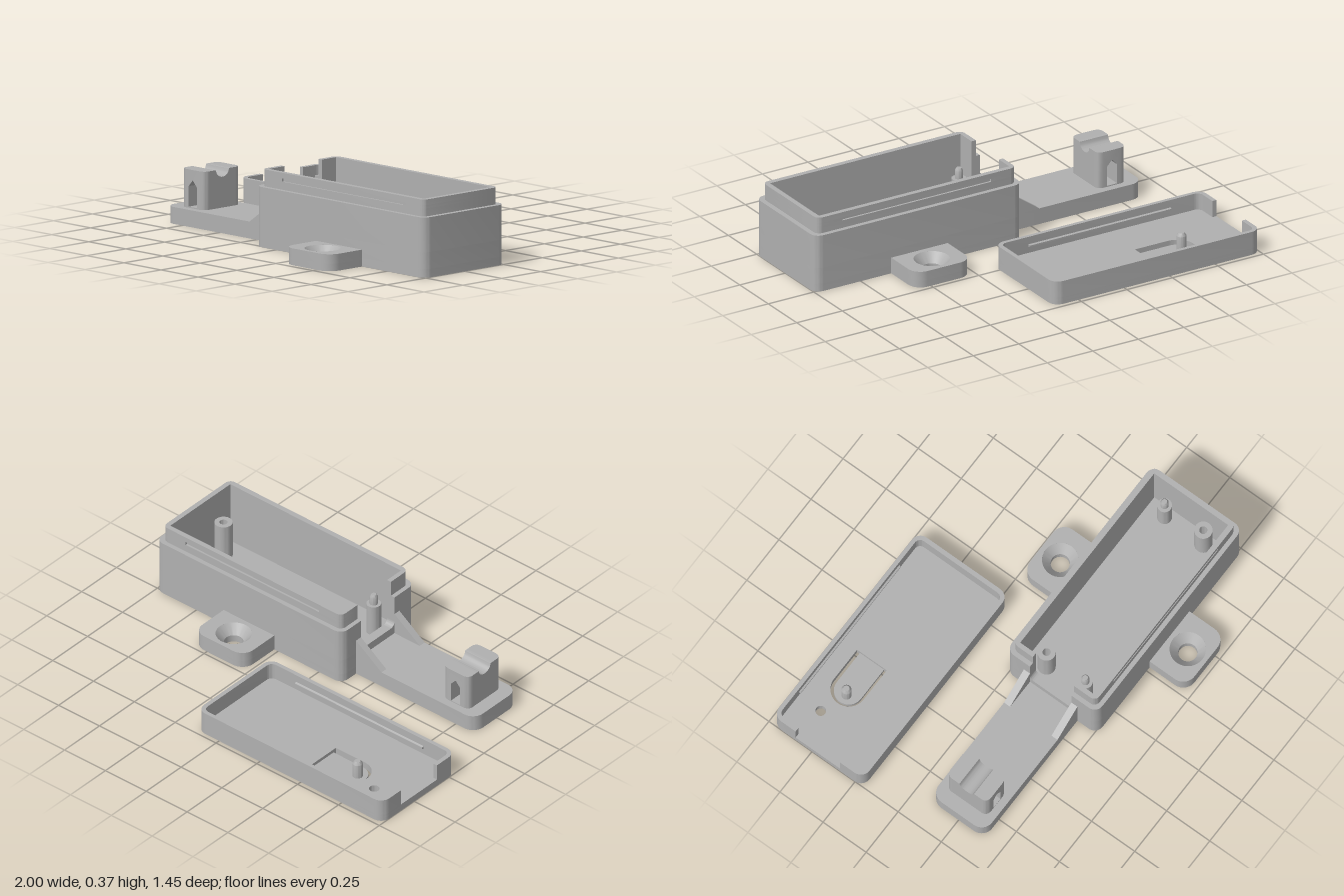
import * as THREE from 'three';
import { toCreasedNormals } from 'three/addons/utils/BufferGeometryUtils.js';

const V = (x, y) => new THREE.Vector2(x, y);
const grey = new THREE.MeshStandardMaterial({ color: 0xb0b0b0, side: THREE.DoubleSide });
grey.name = 'grey plastic';

function add(parent, name, geo) {
  const mesh = new THREE.Mesh(toCreasedNormals(geo, 0.6), grey);
  mesh.name = name;
  parent.add(mesh);
  return mesh;
}

// Plan shape (x, z) raised from y0 to y1
function prism(shape, y0, y1) {
  const g = new THREE.ExtrudeGeometry(shape, { depth: y1 - y0, bevelEnabled: false, curveSegments: 20 });
  return g.rotateX(Math.PI / 2).translate(0, y1, 0);
}

// Rounded rectangle points starting on the -x side; radii per corner;
// groove = [xa, xb, depth] cuts a recess into both long sides
function rectPts(x0, x1, z0, z1, r = 0, groove) {
  const radii = Array.isArray(r) ? r : [r, r, r, r];
  const corners = [[x0, z0, 1, 1], [x1, z0, -1, 1], [x1, z1, -1, -1], [x0, z1, 1, -1]];
  const pts = [];
  corners.forEach(([x, z, sx, sz], i) => {
    const q = radii[i], n = q ? 10 : 0;
    for (let k = 0; k <= n; k++) {
      const a = Math.PI * (1 + i / 2) + (n ? (k / n) * Math.PI / 2 : 0);
      pts.push(q ? V(x + sx * q + q * Math.cos(a), z + sz * q + q * Math.sin(a)) : V(x, z));
    }
    if (groove && i % 2 === 0) {
      const [ga, gb, d] = groove;
      const [a, b] = i === 0 ? [ga, gb] : [gb, ga];
      pts.push(V(a, z), V(a, z + sz * d), V(b, z + sz * d), V(b, z));
    }
  });
  return pts;
}

const plate = (...args) => new THREE.Shape(rectPts(...args));

function circleHole(shape, x, z, r) {
  shape.holes.push(new THREE.Path().absarc(x, z, r, 0, Math.PI * 2));
  return shape;
}

// Closed wall ring
function ring(outer, inner) {
  const s = new THREE.Shape(outer);
  s.holes.push(new THREE.Path(inner));
  return s;
}

// Wall ring left open on the -x side between z = za and zb
function openRing(outer, inner, x0, xi, za, zb) {
  return new THREE.Shape([V(x0, za), ...outer, V(x0, zb), V(xi, zb), ...inner.slice().reverse(), V(xi, za)]);
}

function lathe(points, x, z) {
  return new THREE.LatheGeometry(points.map(p => V(p[0], p[1])), 28).translate(x, 0, z);
}

function makeBase() {
  const base = new THREE.Group();
  base.name = 'base';
  const za = 0.125, zb = 0.365, notchY = 0.12, wallTop = 0.285, top = 0.365, xi = -0.095;
  const outer = rectPts(-0.14, 1, -0.013, 0.512, 0.045);
  const inner = rectPts(xi, 0.95, 0.035, 0.464);
  add(base, 'boxFloor', prism(new THREE.Shape(outer), 0, 0.04));
  add(base, 'lowerWall', prism(ring(outer, inner), 0.04, notchY));
  add(base, 'upperWall', prism(openRing(outer, inner, -0.14, xi, za, zb), notchY, wallTop));

  // Stepped lip with a snap groove along both sides
  const lip = groove => openRing(rectPts(-0.118, 0.975, 0.01, 0.49, 0.03, groove), inner, -0.118, xi, za, zb);
  add(base, 'lipLower', prism(lip(), wallTop, 0.323));
  add(base, 'lipGroove', prism(lip([0.02, 0.835, 0.01]), 0.323, 0.338));
  add(base, 'lipUpper', prism(lip(), 0.338, top));

  // Rounded lower corners of the cable notch
  for (const [z, s] of [[za, 1], [zb, -1]]) {
    const r = 0.025, pts = [V(0, 0)];
    for (let k = 0; k <= 8; k++) {
      const a = Math.PI * (1.5 - k / 16);
      pts.push(V(s * r * (1 + Math.cos(a)), r * (1 + Math.sin(a))));
    }
    const g = new THREE.ExtrudeGeometry(new THREE.Shape(pts), { depth: 0.045, bevelEnabled: false });
    add(base, 'notchFillet', g.rotateY(-Math.PI / 2).translate(xi, notchY, z));
  }

  // Board supports: two hollow posts and two locating pins
  for (const [x, z] of [[-0.02, 0.132], [0.9, 0.357]])
    add(base, 'hollowPost', lathe([[0.043, 0.04], [0.043, 0.23], [0.019, 0.23], [0.019, 0.06], [0, 0.06]], x, z));
  for (const [x, z] of [[-0.02, 0.357], [0.9, 0.132]])
    add(base, 'pinPost', lathe([[0.035, 0.04], [0.035, 0.2], [0.019, 0.2], [0.019, 0.24], [0.012, 0.252], [0, 0.252]], x, z));

  // Screw ears with countersunk holes
  for (const s of [-1, 1]) {
    const r = 0.065, cx = 0.428, cz = 0.248 + s * 0.37;
    const ear = () => s < 0
      ? plate(0.273, 0.583, -0.23, 0.015, [r, r, 0, 0])
      : plate(0.273, 0.583, 0.485, 0.724, [0, 0, r, r]);
    add(base, 'earLower', prism(circleHole(ear(), cx, cz, 0.045), 0, 0.035));
    add(base, 'earUpper', prism(circleHole(ear(), cx, cz, 0.085), 0.035, 0.08));
    add(base, 'countersink', new THREE.CylinderGeometry(0.085, 0.045, 0.045, 36, 1, true).translate(cx, 0.0575, cz));
  }

  // Cable tongue and its gussets
  add(base, 'tongue', prism(plate(-0.865, -0.11, 0.09, 0.4, [0.06, 0, 0, 0.06]), 0, 0.08));
  const tri = new THREE.Shape([V(-0.295, 0.08), V(-0.12, 0.08), V(-0.12, 0.19), V(-0.14, 0.19)]);
  for (const z of [0.09, 0.365])
    add(base, 'gusset', new THREE.ExtrudeGeometry(tri, { depth: 0.035, bevelEnabled: false }).translate(0, 0, z));
  add(base, 'cableSaddle', makeSaddle());
  return base;
}

// Block with a tie slot through it, rounded uprights and a cable groove on top
function makeSaddle() {
  const h = 0.0775, len = 0.235, r = 0.03, gr = 0.042, gd = 0.036, top = 0.262;
  const s = new THREE.Shape([V(-h, 0.07), V(h, 0.07), V(h, top), V(-h, top)]);
  s.holes.push(new THREE.Path([V(-0.028, 0.085), V(0.028, 0.085), V(0.028, 0.182), V(0, 0.213), V(-0.028, 0.182)]));
  const g = new THREE.ExtrudeGeometry(s, { depth: len, steps: 56, bevelEnabled: false }).translate(0, 0, -len / 2);
  const p = g.attributes.position;
  for (let i = 0; i < p.count; i++) {
    const x = p.getX(i), z = Math.abs(p.getZ(i));
    const d = Math.max(0, z - (len / 2 - r));
    if (Math.abs(x) > h - 0.001) p.setX(i, Math.sign(x) * (h - r + Math.sqrt(Math.max(0, r * r - d * d))));
    if (p.getY(i) > top - 0.001 && z < gr) p.setY(i, top - gd * Math.sqrt(1 - (z / gr) ** 2));
  }
  g.computeVertexNormals();
  return g.translate(-0.7175, 0, 0.245);
}

function makeLid() {
  const lid = new THREE.Group();
  lid.name = 'lid';
  const x0 = -1, x1 = 0.135, z0 = -0.728, z1 = -0.203, floor = 0.035, thin = 0.018, top = 0.117;
  const outer = rectPts(x0, x1, z0, z1, 0.05);
  const inner = rectPts(x0 + 0.022, x1 - 0.022, z0 + 0.02, z1 - 0.02, 0.03);

  // Floor with a light hole and a flexible push button freed by a U-shaped slot
  const cx = -0.66, cz = -0.539, R = 0.086, ri = 0.07, end = -0.48, q = Math.PI / 2;
  const slot = (withCore) => {
    const p = new THREE.Path().moveTo(end, cz - R).lineTo(cx, cz - R)
      .absarc(cx, cz, R, -q, -3 * q, true).lineTo(end, cz + R);
    if (withCore) p.lineTo(end, cz + ri).lineTo(cx, cz + ri).absarc(cx, cz, ri, q, 3 * q, false).lineTo(end, cz - ri);
    return p;
  };
  for (const [name, y0, y1, core] of [['lidFloorLower', 0, thin, true], ['lidFloorUpper', thin, floor, false]]) {
    const s = circleHole(new THREE.Shape(outer), -0.824, -0.58, 0.025);
    s.holes.push(slot(core));
    add(lid, name, prism(s, y0, y1));
  }
  add(lid, 'buttonPin', lathe([[0.024, thin], [0.024, 0.09], [0.014, 0.105], [0, 0.105]], -0.684, -0.535));

  // Rim, open at the cable end, with snap ridges inside
  add(lid, 'lidRim', prism(openRing(outer, inner, x0, x0 + 0.022, -0.595, -0.337), floor, top));
  for (const [z, s] of [[z0 + 0.018, 1], [z1 - 0.018, -1]]) {
    const ridge = new THREE.Shape([V(0, 0.063), V(s * 0.011, 0.068), V(s * 0.011, 0.075), V(0, 0.08)]);
    const g = new THREE.ExtrudeGeometry(ridge, { depth: 0.78, bevelEnabled: false });
    add(lid, 'snapRidge', g.rotateY(-Math.PI / 2).translate(-0.04, 0, z));
  }
  return lid;
}

export function createModel() {
  const model = new THREE.Group();
  model.name = 'enclosure';
  model.add(makeBase(), makeLid());
  return model;
}
